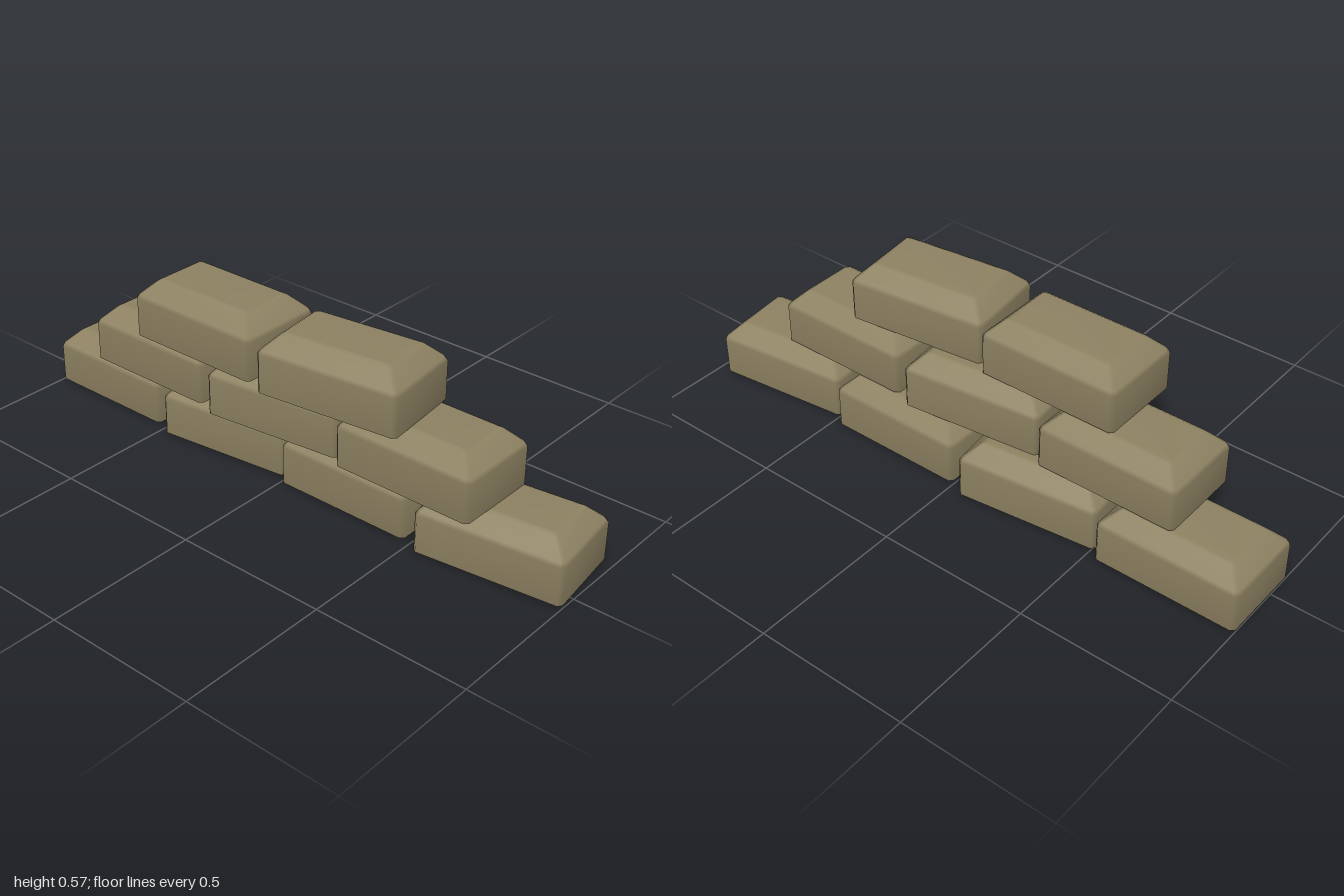
import * as THREE from 'three';

const W = 0.472, D = 0.29;

// One octagonal ring: a rectangle with clipped corners
function ring(inset, y, cut) {
  const x = W / 2 - inset, z = D / 2 - inset;
  return [
    [x, z - cut], [x, -z + cut], [x - cut, -z], [-x + cut, -z],
    [-x, -z + cut], [-x, z - cut], [-x + cut, z], [x - cut, z],
  ].map(([px, pz]) => [px, y, pz]);
}

// Brick with a sloped top, softened along every edge
function brickGeometry() {
  const rings = [
    ring(0.010, 0, 0.008),
    ring(0, 0.006, 0.012),
    ring(0, 0.131, 0.012),
    ring(0.007, 0.143, 0.011),
    ring(0.050, 0.187, 0.009),
    ring(0.061, 0.193, 0.007),
  ];
  const n = 8, top = (rings.length - 1) * n, index = [];
  for (let r = 0; r < rings.length - 1; r++) {
    for (let i = 0; i < n; i++) {
      const a = r * n + i, b = r * n + (i + 1) % n;
      index.push(a, b, b + n, a, b + n, a + n);
    }
  }
  // Top and bottom faces
  for (let i = 1; i < n - 1; i++) {
    index.push(top, top + i, top + i + 1);
    index.push(0, i + 1, i);
  }
  const g = new THREE.BufferGeometry();
  g.setAttribute('position', new THREE.Float32BufferAttribute(rings.flat(2), 3));
  g.setIndex(index);
  g.computeVertexNormals();
  return g;
}

export function createModel() {
  const group = new THREE.Group();
  group.name = 'brickPile';
  const geometry = brickGeometry();
  const material = new THREE.MeshStandardMaterial({ color: 0x8f8363 });
  const turn = 0.115;

  // Each course steps forward; bricks are [x, turn]
  const courses = [
    { name: 'bottomCourse', y: 0, z: -0.053, bricks: [[-0.764, 0], [-0.26, turn], [0.241, 0], [0.748, turn]] },
    { name: 'middleCourse', y: 0.189, z: -0.002, bricks: [[-0.514, 0], [-0.009, turn], [0.495, 0]] },
    { name: 'topCourse', y: 0.377, z: 0.049, bricks: [[-0.264, 0], [0.243, turn]] },
  ];
  for (const { name, y, z, bricks } of courses) {
    const course = new THREE.Group();
    course.name = name;
    course.position.set(0, y, z);
    bricks.forEach(([x, angle], i) => {
      const brick = new THREE.Mesh(geometry, material);
      brick.name = `brick${i + 1}`;
      brick.position.x = x;
      brick.rotation.y = angle;
      course.add(brick);
    });
    group.add(course);
  }
  return group;
}
